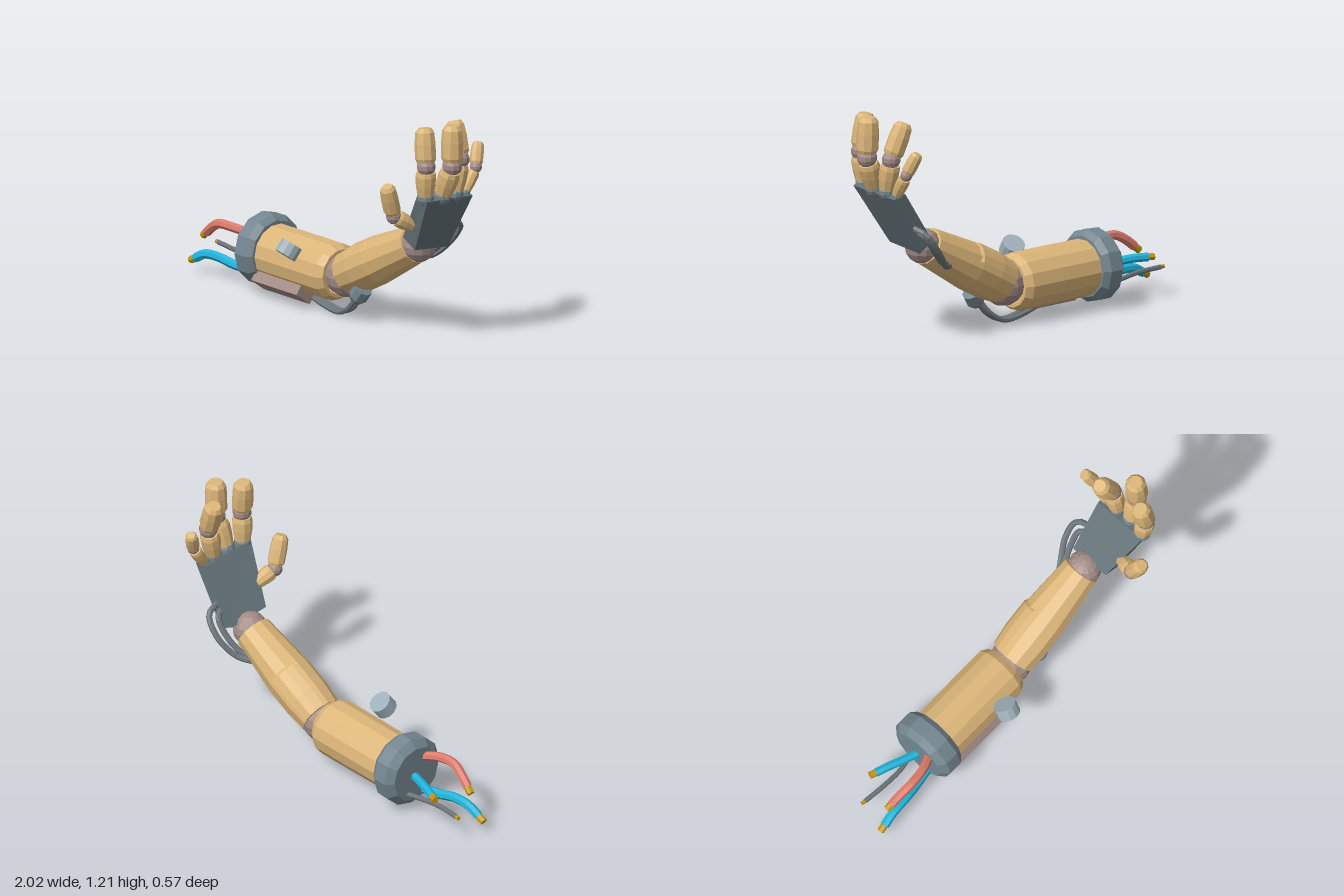
import * as THREE from 'three';

const COLORS = {
  tan: 0xdcb679, steel: 0x748690, palm: 0x647378, joint: 0xa38c88, pale: 0x9fb0ba,
  red: 0xdc7a6c, blue: 0x1fb4da, grey: 0x6c757a, gold: 0xc4960f,
};
const mats = {};
for (const k in COLORS) {
  mats[k] = new THREE.MeshStandardMaterial({ flatShading: true });
  mats[k].color.set(COLORS[k]);
}
const V = (p) => new THREE.Vector3(...p);
const UP = new THREE.Vector3(0, 1, 0);

export function createModel() {
  const root = new THREE.Group();
  root.name = 'roboticArm';

  const add = (name, geo, mat, pos = [0, 0, 0]) => {
    const m = new THREE.Mesh(geo, mats[mat]);
    m.name = name;
    m.position.set(...pos);
    root.add(m);
    return m;
  };
  const aim = (mesh, dir) => {
    mesh.quaternion.setFromUnitVectors(UP, V(dir).normalize());
    return mesh;
  };
  // Turned part from a to b; the profile holds [radius, fraction of length]
  const turned = (name, a, b, profile, mat, sides = 12, start = 0, sweep = Math.PI * 2) => {
    const dir = V(b).sub(V(a));
    const len = dir.length();
    const pts = profile.map(([r, t]) => new THREE.Vector2(r, t * len));
    return aim(add(name, new THREE.LatheGeometry(pts, sides, start, sweep), mat, a), dir.toArray());
  };
  const ball = (name, p, r, mat = 'joint', sides = 12) =>
    add(name, new THREE.SphereGeometry(r, sides, Math.round(sides * 0.67)), mat, p);
  const cable = (name, pts, r, mat) => {
    const curve = new THREE.CatmullRomCurve3(pts.map(V));
    add(name, new THREE.TubeGeometry(curve, 14, r, 7), mat);
    return curve;
  };

  // Upper arm shell, hollow at the elbow, with the shoulder cap
  turned('upperArm', [-0.5, 0.21, -0.055], [0.035, 0.21, -0.055],
    [[0.148, 0], [0.15, 0.5], [0.15, 0.93], [0.128, 1], [0.11, 1], [0.11, 0.8], [0, 0.8]], 'tan', 14);
  turned('shoulderCap', [-0.61, 0.215, -0.055], [-0.465, 0.215, -0.055],
    [[0, 0], [0.15, 0], [0.188, 0.25], [0.188, 0.78], [0.162, 1], [0, 1]], 'steel', 12);

  // Battery panel underneath and disc knob on the side
  const panel = add('undersidePanel', new THREE.BoxGeometry(0.35, 0.11, 0.065), 'joint', [-0.305, 0.083, 0.04]);
  panel.rotation.x = 0.94;
  aim(add('sideKnob', new THREE.CylinderGeometry(0.06, 0.06, 0.068, 12), 'pale', [-0.155, 0.33, 0.135]),
    [0.12, 0.8, -0.58]);

  // Elbow, forearm and wrist
  ball('elbowJoint', [0.08, 0.215, -0.055], 0.115);
  const fa = [0.1, 0.23, -0.057], fb = [0.605, 0.495, -0.057];
  turned('forearm', fa, fb,
    [[0, 0.1], [0.1, 0.1], [0.1, 0], [0.115, 0], [0.126, 0.2], [0.126, 0.45], [0.099, 1], [0.085, 1], [0.085, 0.88], [0, 0.88]],
    'tan', 12);
  turned('forearmPlate', fa, fb,
    [[0.11, 0], [0.122, 0], [0.133, 0.2], [0.132, 0.47], [0.12, 0.5]], 'tan', 3, Math.PI * 1.08, Math.PI / 3);
  ball('wristJoint', [0.63, 0.5, -0.055], 0.092);

  // Palm: a box with its corners moved into a flared wedge
  const palm = new THREE.BoxGeometry(1, 1, 1);
  const pos = palm.attributes.position;
  for (let i = 0; i < pos.count; i++) {
    const outer = pos.getX(i) > 0, top = pos.getY(i) > 0, front = pos.getZ(i) > 0;
    const [x, y] = top ? (outer ? [0.922, 0.815] : [0.845, 0.835])
      : (outer ? [0.74, 0.505] : [0.65, 0.555]);
    const z = top ? (front ? 0.145 : -0.162) : (front ? 0.07 : -0.155);
    pos.setXYZ(i, x, y + (front ? 0.012 : -0.012), z);
  }
  palm.computeVertexNormals();
  add('palm', palm, 'palm');

  // Fingers and thumb: knuckle, middle joint, tip, radius
  const digits = [
    ['indexFinger', [0.875, 0.835, 0.115], [0.89, 1.005, 0.125], [0.865, 1.2, 0.112], 0.055],
    ['middleFinger', [0.895, 0.83, 0.02], [0.955, 1.0, 0.005], [0.95, 1.212, 0.0], 0.058],
    ['ringFinger', [0.89, 0.825, -0.07], [0.89, 1.0, -0.106], [0.82, 1.182, -0.128], 0.054],
    ['littleFinger', [0.885, 0.815, -0.14], [0.885, 0.935, -0.215], [0.85, 1.05, -0.262], 0.035],
    ['thumb', [0.745, 0.655, 0.095], [0.715, 0.715, 0.19], [0.73, 0.888, 0.248], 0.045],
  ];
  for (const [name, base, mid, tip, r] of digits) {
    if (name !== 'thumb') ball(name + 'Knuckle', base, r * 0.82, 'steel', 10);
    const near = V(base).lerp(V(mid), 0.83).toArray();
    const far = V(mid).lerp(V(tip), 0.12).toArray();
    turned(name + 'Base', base, near,
      [[0, 0], [r * 0.72, 0], [r * 0.93, 0.5], [r * 0.98, 0.85], [r * 0.88, 1], [0, 1]], 'tan', 9);
    ball(name + 'Joint', mid, r * 0.9, 'joint', 10);
    turned(name + 'Tip', far, tip,
      [[0, 0], [r * 0.85, 0], [r, 0.1], [r, 0.55], [r * 0.9, 0.88], [r * 0.62, 1], [0, 1]], 'tan', 9);
  }

  // Elbow cables with their plug
  for (const dz of [0, -0.035]) {
    cable('elbowCable', [[-0.16, 0.06, -0.015 + dz], [-0.05, 0.03, -0.015 + dz], [0.06, 0.02, -0.012 + dz],
      [0.15, 0.065, -0.005 + dz], [0.215, 0.145, -0.005 + dz * 0.5]], 0.014, 'grey');
  }
  turned('elbowPlug', [0.205, 0.12, 0], [0.255, 0.19, -0.01],
    [[0, 0], [0.035, 0], [0.05, 0.3], [0.05, 1], [0, 1]], 'steel', 9);

  // Wrist cables looping behind the hand
  cable('wristCable', [[0.51, 0.39, -0.13], [0.59, 0.41, -0.185], [0.68, 0.5, -0.235],
    [0.755, 0.6, -0.225], [0.775, 0.63, -0.15]], 0.016, 'grey');
  cable('wristCable', [[0.52, 0.4, -0.13], [0.59, 0.425, -0.16], [0.67, 0.5, -0.188],
    [0.73, 0.58, -0.185], [0.75, 0.605, -0.14]], 0.016, 'grey');

  // Loose wires at the shoulder with bare metal ends
  const wires = [
    ['redWire', 'red', 0.025, [[-0.59, 0.29, 0.005], [-0.68, 0.31, 0.04], [-0.78, 0.31, 0.05], [-0.85, 0.275, 0.04], [-0.9, 0.235, 0.033]]],
    ['upperBlueWire', 'blue', 0.023, [[-0.59, 0.205, -0.06], [-0.68, 0.215, -0.09], [-0.76, 0.223, -0.12], [-0.83, 0.222, -0.145]]],
    ['lowerBlueWire', 'blue', 0.025, [[-0.59, 0.1, 0.0], [-0.7, 0.105, 0.02], [-0.8, 0.125, 0.035], [-0.9, 0.12, 0.04], [-0.97, 0.085, 0.046]]],
    ['greyWire', 'grey', 0.013, [[-0.59, 0.115, -0.115], [-0.7, 0.12, -0.09], [-0.82, 0.135, -0.088], [-0.96, 0.142, -0.1]]],
  ];
  for (const [name, mat, r, pts] of wires) {
    const curve = cable(name, pts, r, mat);
    const end = curve.getPoint(1), dir = curve.getTangent(1);
    const stop = end.clone().addScaledVector(dir, r * 1.5);
    turned(name + 'End', end.clone().addScaledVector(dir, -0.03).toArray(), stop.toArray(),
      [[0, 0], [r * 0.8, 0], [r * 0.8, 1], [0, 1]], 'gold', 7);
  }
  return root;
}
